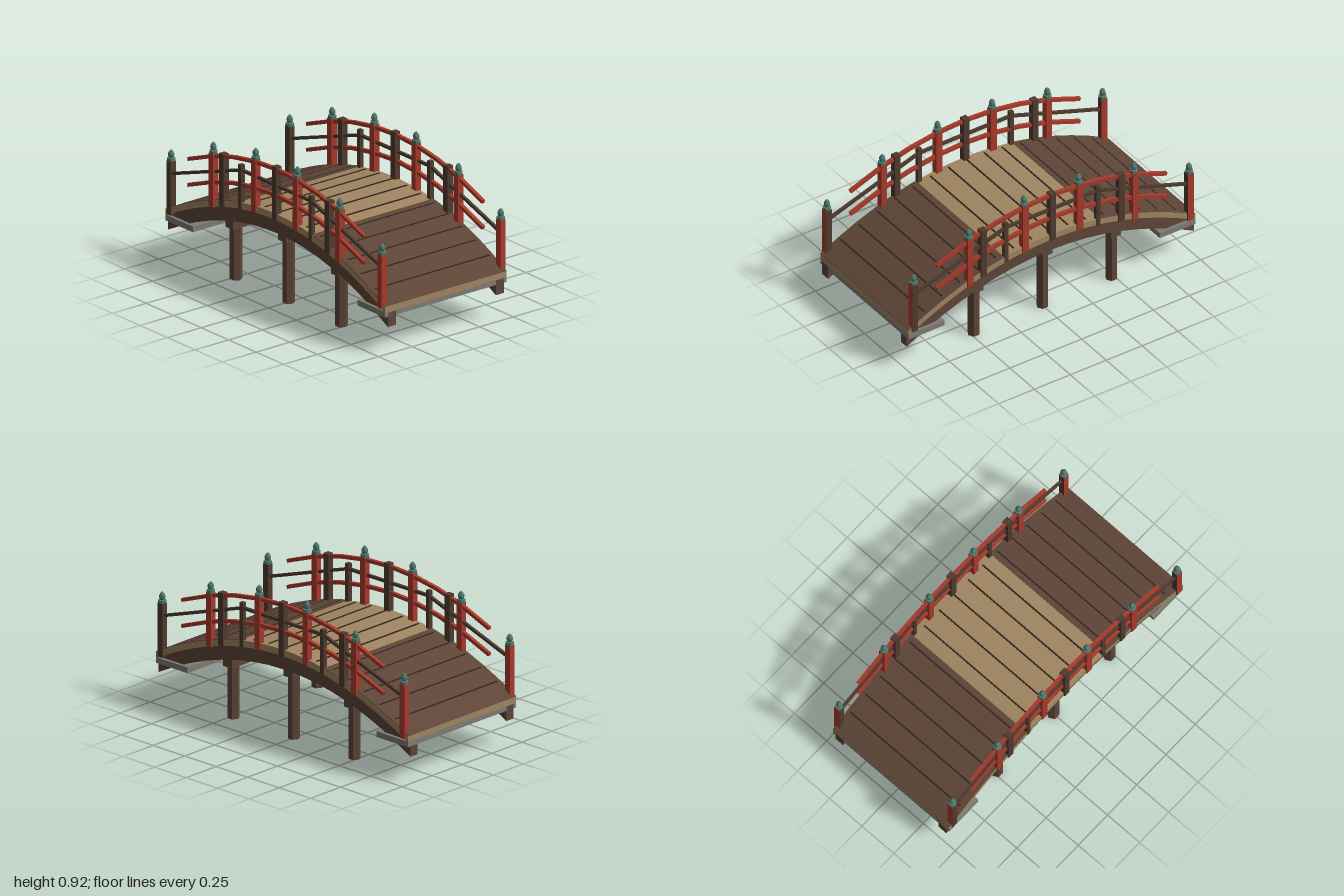
import * as THREE from 'three';

const mat = (name, color) => {
  const m = new THREE.MeshStandardMaterial({ color });
  m.name = name;
  return m;
};

// Height of the deck top along the length of the bridge
const deckY = (z) => 0.57 - 0.275 * z * z;

// Curved band that follows the deck, from z0 to z1, between two height offsets
function band(z0, z1, top, bottom, width) {
  const zs = [z0];
  for (let i = -8; i <= 8; i++) {
    const z = i / 8;
    if (z > z0 + 1e-4 && z < z1 - 1e-4) zs.push(z);
  }
  zs.push(z1);
  const pts = zs.map((z) => new THREE.Vector2(z, deckY(z) + bottom));
  zs.reverse().forEach((z) => pts.push(new THREE.Vector2(z, deckY(z) + top)));
  const g = new THREE.ExtrudeGeometry(new THREE.Shape(pts), { depth: width, bevelEnabled: false });
  return g.translate(0, 0, -width / 2).rotateY(-Math.PI / 2);
}

export function createModel() {
  const model = new THREE.Group();
  model.name = 'archedBridge';
  const brown = mat('brownWood', 0x5e4537);
  const dark = mat('darkWood', 0x4e3a2e);
  const seam = mat('seamShadow', 0x2e231c);
  const tan = mat('paleWood', 0xa08561);
  const red = mat('redPaint', 0xa8392b);
  const green = mat('greenMetal', 0x4f7a6d);
  const stone = mat('greyStone', 0x7f7c74);

  const add = (name, geometry, material, x = 0, y = 0, z = 0) => {
    const m = new THREE.Mesh(geometry, material);
    m.name = name;
    m.position.set(x, y, z);
    model.add(m);
    return m;
  };
  const box = (name, w, h, d, material, x, y, z) =>
    add(name, new THREE.BoxGeometry(w, h, d), material, x, y, z);
  // Square bar between two points in a plane of constant x
  const bar = (name, x, z0, y0, z1, y1, size, material) => {
    const m = box(name, size, size, Math.hypot(z1 - z0, y1 - y0), material, x, (y0 + y1) / 2, (z0 + z1) / 2);
    m.rotation.x = -Math.atan2(y1 - y0, z1 - z0);
  };

  // Deck: pale body with brown outer planks and dark seams
  add('deck', band(-1, 1, 0, -0.04, 0.9), tan);
  for (const [a, b] of [[-1, -0.335], [0.335, 1]]) {
    add('brownPlanks', band(a, b, 0.003, 0, 0.9), brown);
  }
  for (let i = -7; i <= 7; i++) {
    const z = i / 8;
    const s = box('plankSeam', 0.85, 0.004, 0.009, seam, 0, deckY(z) + 0.002, z);
    s.rotation.x = Math.atan(0.55 * z);
  }

  // Landing slabs at both ends
  for (const s of [-1, 1]) box('landingSlab', 0.9, 0.035, 0.25, stone, 0, 0.245, s * 0.875);

  // Supports: six-sided piles with cross beams
  for (const z of [-0.48, 0, 0.48]) {
    const top = deckY(z) - 0.125;
    box('crossBeam', 0.8, 0.06, 0.07, brown, 0, top - 0.03, z);
    for (const s of [-1, 1]) {
      const g = new THREE.CylinderGeometry(0.037, 0.037, top, 6).toNonIndexed();
      g.computeVertexNormals();
      add('pile', g, brown, s * 0.35, top / 2, z);
    }
  }

  // Bud finial with a collar
  const finial = new THREE.LatheGeometry([
    [0, 0], [0.024, 0], [0.024, 0.018], [0.014, 0.021], [0.019, 0.034],
    [0.018, 0.046], [0.011, 0.06], [0, 0.07],
  ].map(([x, y]) => new THREE.Vector2(x, y)), 8).toNonIndexed();
  finial.computeVertexNormals();

  for (const side of [-1, 1]) {
    const x = side * 0.44;
    add('stringer', band(-1, 1, -0.04, -0.13, 0.06), brown, side * 0.4);

    // Red main posts; the end posts have dark faces
    for (const [pz, y0, y1] of [[0.19, 0.525, 0.847], [0.575, 0.44, 0.768], [0.96, 0.275, 0.605]]) {
      for (const end of [-1, 1]) {
        const faces = end > 0 ? [dark, red, red, red, red, dark] : [red, dark, red, red, dark, red];
        box('railPost', 0.04, y1 - y0, 0.04, pz > 0.9 ? faces : red, x, (y0 + y1) / 2, end * pz);
        add('finial', finial, green, x, y1, end * pz);
      }
    }

    // Dark intermediate posts
    for (const [pz, y0, y1, w] of [[0, 0.53, 0.86, 0.04], [0.48, 0.47, 0.795, 0.04],
      [-0.48, 0.47, 0.795, 0.04], [0.32, 0.5, 0.775, 0.027], [-0.32, 0.5, 0.775, 0.027]]) {
      box('darkPost', w, y1 - y0, w, dark, x, (y0 + y1) / 2, pz);
    }

    // Red curved rails
    for (const h of [0.27, 0.11]) {
      const zs = [-0.8, -0.575, -0.385, -0.19, 0, 0.19, 0.385, 0.575, 0.8];
      for (let i = 0; i < zs.length - 1; i++) {
        bar('redRail', x, zs[i], deckY(zs[i]) + h, zs[i + 1], deckY(zs[i + 1]) + h, 0.021, red);
      }
    }

    // Dark middle rail: level in the centre, sloping to the end posts
    bar('darkRail', x, -0.32, 0.74, 0.32, 0.74, 0.017, dark);
    for (const end of [-1, 1]) bar('darkRail', x, end * 0.32, 0.74, end * 0.96, 0.525, 0.017, dark);
  }
  return model;
}
